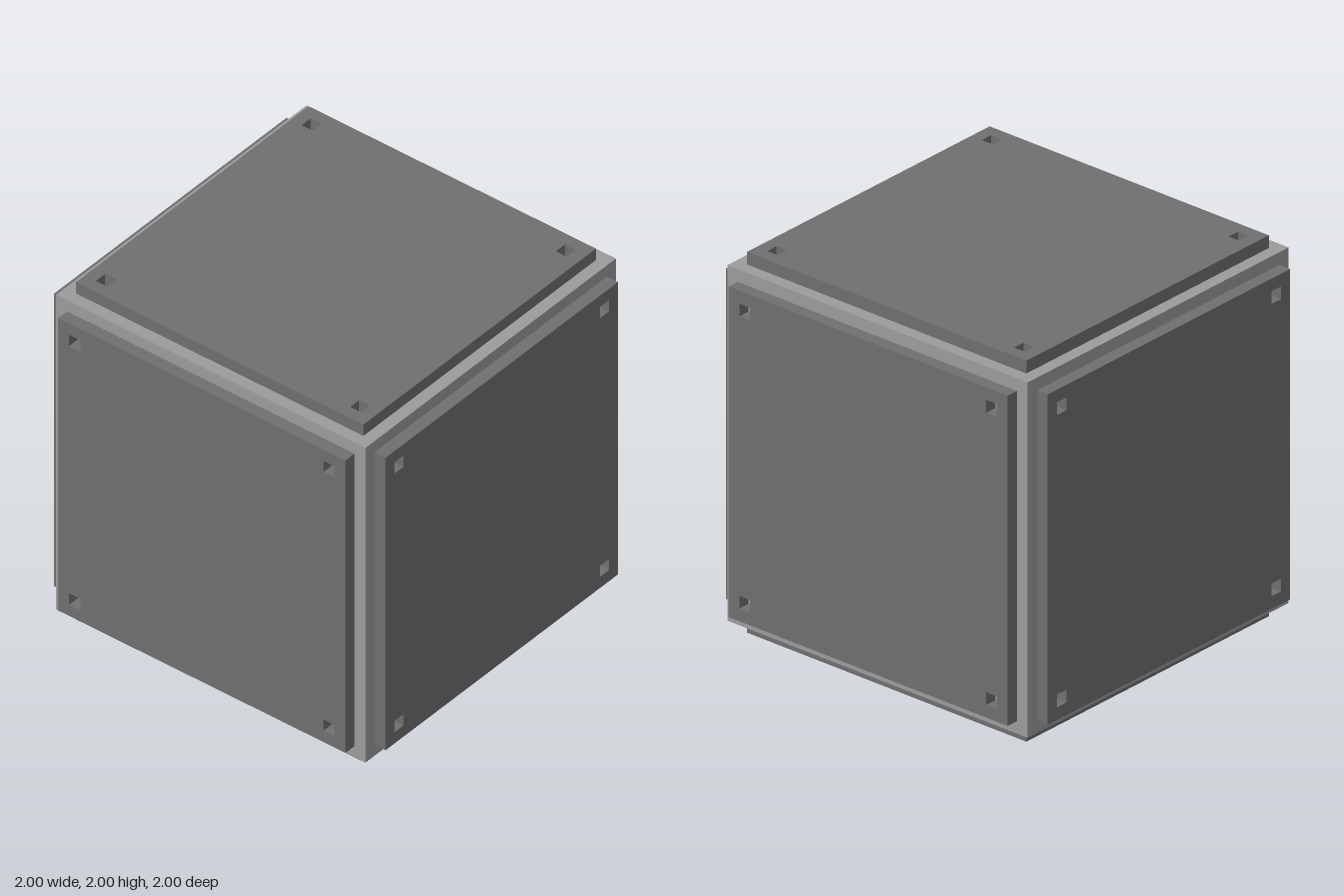
import * as THREE from 'three';

const CORE = 0.933;   // half size of the inner cube
const PANEL = 0.867;  // half width of each face panel
const HOLE = 0.767;   // hole centre offset
const R = 0.0335;     // hole half width

const square = (PathType, cx, cy, h) => new PathType([
  new THREE.Vector2(cx - h, cy - h), new THREE.Vector2(cx + h, cy - h),
  new THREE.Vector2(cx + h, cy + h), new THREE.Vector2(cx - h, cy + h),
]);

// Square plate with a square hole near each corner, facing +z
function panelGeometry() {
  const shape = square(THREE.Shape, 0, 0, PANEL);
  for (const x of [-HOLE, HOLE])
    for (const y of [-HOLE, HOLE]) shape.holes.push(square(THREE.Path, x, y, R));
  const geo = new THREE.ExtrudeGeometry(shape, { depth: 1 - CORE, bevelEnabled: false });
  return geo.translate(0, 0, CORE);
}

export function createModel() {
  const model = new THREE.Group();
  model.name = 'panelledCube';
  const frameGrey = new THREE.MeshStandardMaterial({ color: 0x9b9b9b });
  frameGrey.name = 'light grey';
  const panelGrey = new THREE.MeshStandardMaterial({ color: 0x6f6f6f });
  panelGrey.name = 'dark grey';

  // Inner cube, visible along the edges and at the bottom of the holes
  const core = new THREE.Mesh(new THREE.BoxGeometry(2 * CORE, 2 * CORE, 2 * CORE), frameGrey);
  core.name = 'core';
  core.position.y = 1;
  model.add(core);

  // One raised panel on each of the six sides
  const geo = panelGeometry();
  const q = Math.PI / 2;
  const sides = {
    frontPanel: [0, 0], backPanel: [0, 2 * q], leftPanel: [0, q],
    rightPanel: [0, -q], topPanel: [-q, 0], bottomPanel: [q, 0],
  };
  for (const [name, [rx, ry]] of Object.entries(sides)) {
    const panel = new THREE.Mesh(geo, panelGrey);
    panel.name = name;
    panel.rotation.set(rx, ry, 0);
    panel.position.y = 1;
    model.add(panel);
  }
  return model;
}
